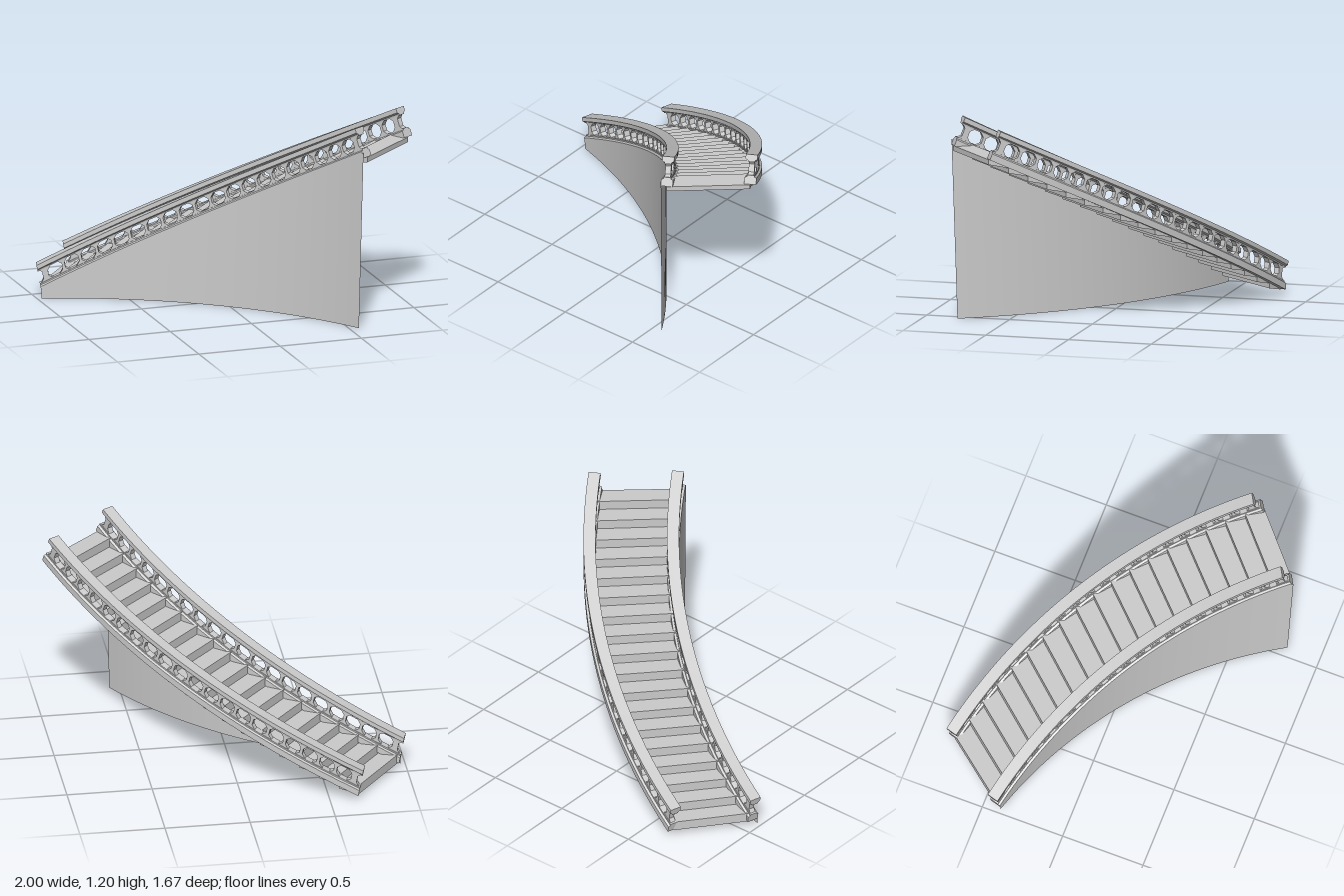
import * as THREE from 'three';
import { toCreasedNormals, mergeGeometries } from 'three/addons/utils/BufferGeometryUtils.js';

const STEPS = 18, BAYS = 21, BASE_Y = 0.035, RISE = 1.0, RAIL_H = 0.165;
const HALF_TURN = THREE.MathUtils.degToRad(22);

// Plan arc from the low end to the high end; returns point, tangent and outward side at t
function arc(x0, z0, x1, z1) {
  const dx = x1 - x0, dz = z1 - z0;
  const chord = Math.hypot(dx, dz), mid = Math.atan2(dz, dx);
  const r = chord / 2 / Math.sin(HALF_TURN), a0 = mid - HALF_TURN;
  const cx = x0 - r * Math.sin(a0), cz = z0 + r * Math.cos(a0);
  return (t) => {
    const a = a0 + 2 * HALF_TURN * t, c = Math.cos(a), s = Math.sin(a);
    return { x: cx + r * s, z: cz - r * c, tx: c, tz: s, nx: s, nz: -c };
  };
}
const innerArc = arc(-0.965, -0.43, 0.604, 0.812);
const outerArc = arc(-0.67, -0.8, 0.968, 0.492);

// Moves every vertex by a rule (x, y, z) => [x, y, z]
function remap(geo, rule) {
  const p = geo.attributes.position;
  for (let i = 0; i < p.count; i++) p.setXYZ(i, ...rule(p.getX(i), p.getY(i), p.getZ(i)));
  geo.deleteAttribute('uv');
  return toCreasedNormals(geo, 0.5);
}

// Bends a straight piece (x = side, y = height, z = 0..1 along) onto a rising arc
const bend = (geo, path) => remap(geo, (w, u, t) => {
  const f = path(t), back = (0.03 + 0.035 * t) * u / RAIL_H;
  return [f.x + f.nx * w - f.tx * back, BASE_Y + RISE * t + u, f.z + f.nz * w - f.tz * back];
});

const shapeOf = (pts) => new THREE.Shape(pts.map(([x, y]) => new THREE.Vector2(x, y)));
const mirrored = (half) => shapeOf([...half, ...half.map(([x, y]) => [-x, y]).reverse()]);

// Mouldings, given as right halves from bottom to top
const BASE = mirrored([[0.035, 0], [0.035, 0.036], [0.022, 0.042], [0.022, 0.05]]);
const HANDRAIL = mirrored([[0.02, 0.124], [0.022, 0.132], [0.035, 0.14], [0.035, 0.165]]);

function sweep(shape, path) {
  return bend(new THREE.ExtrudeGeometry(shape, { depth: 1, steps: 48, bevelEnabled: false }), path);
}

// Pierced panel: octagonal openings leave slim waisted balusters between them
function pierced(path) {
  const lo = 0.04, hi = 0.135, cy = (lo + hi) / 2, w = 1 / BAYS, depth = 0.034;
  const parts = [];
  const add = (shape) => {
    const g = new THREE.ExtrudeGeometry(shape, { depth, bevelEnabled: false });
    g.translate(0, 0, -depth / 2).rotateY(-Math.PI / 2);
    parts.push(bend(g, path));
  };
  for (let k = 1; k < BAYS; k++) {
    const c = k * w;
    const bay = shapeOf([[c - w / 2, lo], [c + w / 2, lo], [c + w / 2, hi], [c - w / 2, hi]]);
    const hole = [];
    for (let i = 0; i < 8; i++) {
      const a = -(i + 0.5) * Math.PI / 4;
      hole.push(new THREE.Vector2(c + 0.45 * w * Math.cos(a), cy + 0.044 * Math.sin(a)));
    }
    bay.holes.push(new THREE.Path(hole));
    add(bay);
  }
  // End posts with hollowed outer edges
  const end = [[w / 2, lo], [w / 2, hi], [0, hi], [0.25 * w, cy + 0.022], [0.25 * w, cy - 0.022], [0, lo]];
  add(shapeOf(end));
  add(shapeOf(end.map(([t, y]) => [1 - t, y])));
  return mergeGeometries(parts);
}

export function createModel() {
  const model = new THREE.Group();
  model.name = 'curvedStaircase';
  const stone = new THREE.MeshStandardMaterial({ color: 0xcccccc });
  const thin = new THREE.MeshStandardMaterial({ color: 0xcccccc, side: THREE.DoubleSide });
  const add = (parent, name, geo, mat = stone) => {
    const mesh = new THREE.Mesh(geo, mat);
    mesh.name = name;
    parent.add(mesh);
  };

  // Balustrades on both sides
  for (const [name, path] of [['innerBalustrade', innerArc], ['outerBalustrade', outerArc]]) {
    const side = new THREE.Group();
    side.name = name;
    add(side, 'stringer', sweep(BASE, path));
    add(side, 'balusters', pierced(path));
    add(side, 'handrail', sweep(HANDRAIL, path));
    model.add(side);
  }

  // Steps: flat treads, full risers and sloping undersides, spanning between the arcs
  const stairs = new THREE.Group();
  stairs.name = 'steps';
  const rise = RISE / STEPS;
  for (let k = 0; k < STEPS; k++) {
    const t0 = k / STEPS, t1 = (k + 1) / STEPS, top = 0.087 + k * rise;
    const section = shapeOf([[t0, top - rise], [t1, top - 0.03], [t1, top], [t0, top]]);
    const geo = new THREE.ExtrudeGeometry(section, { depth: 1, bevelEnabled: false });
    add(stairs, 'step', remap(geo, (t, y, v) => {
      const a = innerArc(t), b = outerArc(t);
      return [b.x + (a.x - b.x) * v, y, b.z + (a.z - b.z) * v];
    }));
  }
  model.add(stairs);

  // Thin curved wall from the inner stringer down to the ground
  const wall = new THREE.PlaneGeometry(1, 1, 48, 1).translate(0.5, 0.5, 0);
  add(model, 'supportWall', remap(wall, (t, v) => {
    const f = innerArc(t), back = 0.035 * t * (1 - v), w = -0.035;
    return [f.x + f.nx * w - f.tx * back, v * (BASE_Y + RISE * t + 0.03), f.z + f.nz * w - f.tz * back];
  }), thin);

  return model;
}
